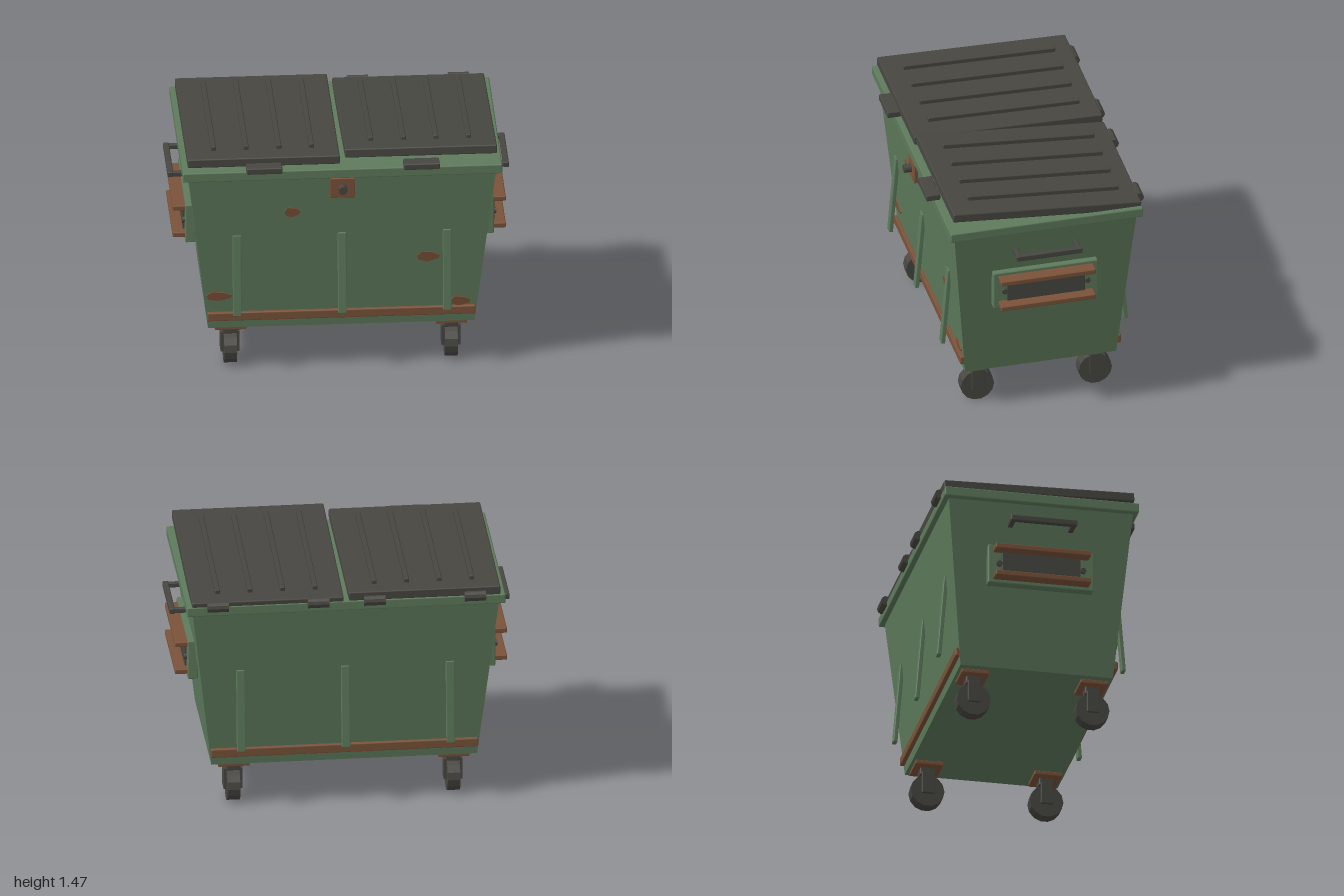
import * as THREE from 'three';
import { RoundedBoxGeometry } from 'three/addons/geometries/RoundedBoxGeometry.js';

export function createModel() {
  const model = new THREE.Group();
  model.name = 'dumpster';
  const paint = (name, color) => Object.assign(new THREE.MeshStandardMaterial({ color }), { name });
  const green = paint('green paint', 0x5d7a5b);
  const dark = paint('dark plastic', 0x474641);
  const rust = paint('rust', 0x7a5239);
  const CZ = -0.01; // middle of the bin from front to back

  function add(name, geometry, material, x, y, z, parent = model) {
    const mesh = new THREE.Mesh(geometry, material);
    mesh.name = name;
    mesh.position.set(x, y, z);
    parent.add(mesh);
    return mesh;
  }
  // Box with slightly softened edges
  const box = (w, h, d) => new RoundedBoxGeometry(w, h, d, 1, Math.min(0.008, w * 0.2, h * 0.2, d * 0.2));
  // Faceted cylinder lying along x
  function roller(radius, length, sides) {
    const g = new THREE.CylinderGeometry(radius, radius, length, sides).rotateZ(Math.PI / 2).toNonIndexed();
    g.computeVertexNormals();
    return g;
  }

  // Tapered bin: narrow floor, wide top
  const Y0 = 0.27, Y1 = 1.29;
  const halfZ = y => 0.455 + 0.095 * (y - Y0) / (Y1 - Y0);
  const bin = new THREE.BoxGeometry(2, Y1 - Y0, 2);
  const p = bin.attributes.position;
  for (let i = 0; i < p.count; i++) {
    const top = p.getY(i) > 0;
    p.setX(i, p.getX(i) * (top ? 0.9 : 0.78));
    p.setZ(i, p.getZ(i) * (top ? 0.55 : 0.455));
  }
  bin.computeVertexNormals();
  add('bin', bin, green, 0, (Y0 + Y1) / 2, CZ);
  add('rim', box(1.87, 0.06, 1.16), green, 0, 1.31, CZ);

  // Two lids with raised ribs; the +x one is propped a little higher
  for (const [side, y, tilt] of [[-1, 1.378, 0.022], [1, 1.384, 0.078]]) {
    const lid = new THREE.Group();
    lid.name = side > 0 ? 'leftLid' : 'rightLid';
    lid.position.set(side * 0.46, y, -0.02);
    lid.rotation.x = -tilt;
    model.add(lid);
    add('lidPanel', box(0.89, 0.055, 1.135), dark, 0, 0, 0, lid);
    for (let i = 0; i < 4; i++) {
      add('lidRib', box(0.03, 0.035, 0.915), dark, (i - 1.5) * 0.191, 0.036, -0.008, lid);
    }
    add('lidLip', box(0.21, 0.04, 0.085), dark, side * 0.46, 1.365, 0.58);
    for (const x of [0.165, 0.755]) {
      add('hinge', roller(0.03, 0.125, 10), dark, side * x, 1.34, -0.594);
    }
  }

  // Leaning stiffeners and rust strips, front and back
  for (const f of [1, -1]) {
    for (const x of [-0.615, 0, 0.615]) {
      const rib = add('stiffener', box(0.05, 0.507, 0.025), green, x, 0.644, CZ + f * 0.53);
      rib.rotation.x = f * -0.0 + f * Math.atan(-0.082);
    }
    add('rustStrip', box(1.57, 0.055, 0.04), rust, 0, 0.352, CZ + f * 0.465);
  }

  // Lock
  add('lockPlate', box(0.146, 0.127, 0.025), rust, 0, 1.217, 0.558);
  add('lock', new THREE.CylinderGeometry(0.025, 0.025, 0.07, 12).rotateX(Math.PI / 2), dark, 0, 1.22, 0.581);

  // Irregular rust patches lying on the sloping front
  const outline = [[-0.5, 0.1], [-0.3, 0.5], [0.15, 0.4], [0.5, 0.1], [0.42, -0.2], [-0.05, -0.5], [-0.42, -0.3]];
  for (const [x, y, w, h] of [[-0.29, 1.045, 0.095, 0.065], [0.508, 0.717, 0.135, 0.07],
    [-0.715, 0.485, 0.155, 0.062], [0.697, 0.408, 0.12, 0.064]]) {
    const shape = new THREE.Shape(outline.map(([u, v]) => new THREE.Vector2(u * w, v * h)));
    const geometry = new THREE.ExtrudeGeometry(shape, { depth: 0.006, bevelEnabled: false });
    const patch = add('rustPatch', geometry, rust, x, y, CZ + halfZ(y));
    patch.rotation.x = Math.atan(0.095 / (Y1 - Y0));
  }

  for (const s of [1, -1]) {
    // Side lifting pocket with rust rails
    add('pocketPlate', box(0.06, 0.245, 0.63), green, s * 0.873, 0.882, CZ);
    add('pocketPanel', box(0.02, 0.15, 0.47), dark, s * 0.903, 0.882, CZ);
    for (const y of [0.797, 0.97]) {
      add('pocketRail', box(0.1, 0.032, 0.57), rust, s * 0.925, y, CZ);
    }
    for (const z of [-0.25, 0.25]) {
      add('pocketBolt', roller(0.017, 0.03, 10), dark, s * 0.905, 0.88, CZ + z);
    }
    // Side handle
    add('handleBar', box(0.034, 0.036, 0.396), dark, s * 0.982, 1.147, CZ);
    for (const z of [-0.18, 0.18]) {
      add('handlePost', box(0.11, 0.03, 0.03), dark, s * 0.925, 1.147, CZ + z);
    }
    // Casters
    for (const f of [1, -1]) {
      const caster = new THREE.Group();
      caster.name = 'caster';
      caster.position.set(s * 0.646, 0, CZ + f * 0.355);
      model.add(caster);
      add('casterPlate', box(0.185, 0.025, 0.166), rust, 0, 0.257, 0, caster);
      add('casterStem', box(0.085, 0.05, 0.09), dark, 0, 0.225, 0, caster);
      for (const a of [-1, 1]) {
        add('forkArm', box(0.018, 0.135, 0.075), dark, a * 0.047, 0.148, 0, caster);
      }
      add('wheel', roller(0.1, 0.075, 14), dark, 0, 0.102, 0, caster);
    }
  }
  return model;
}
